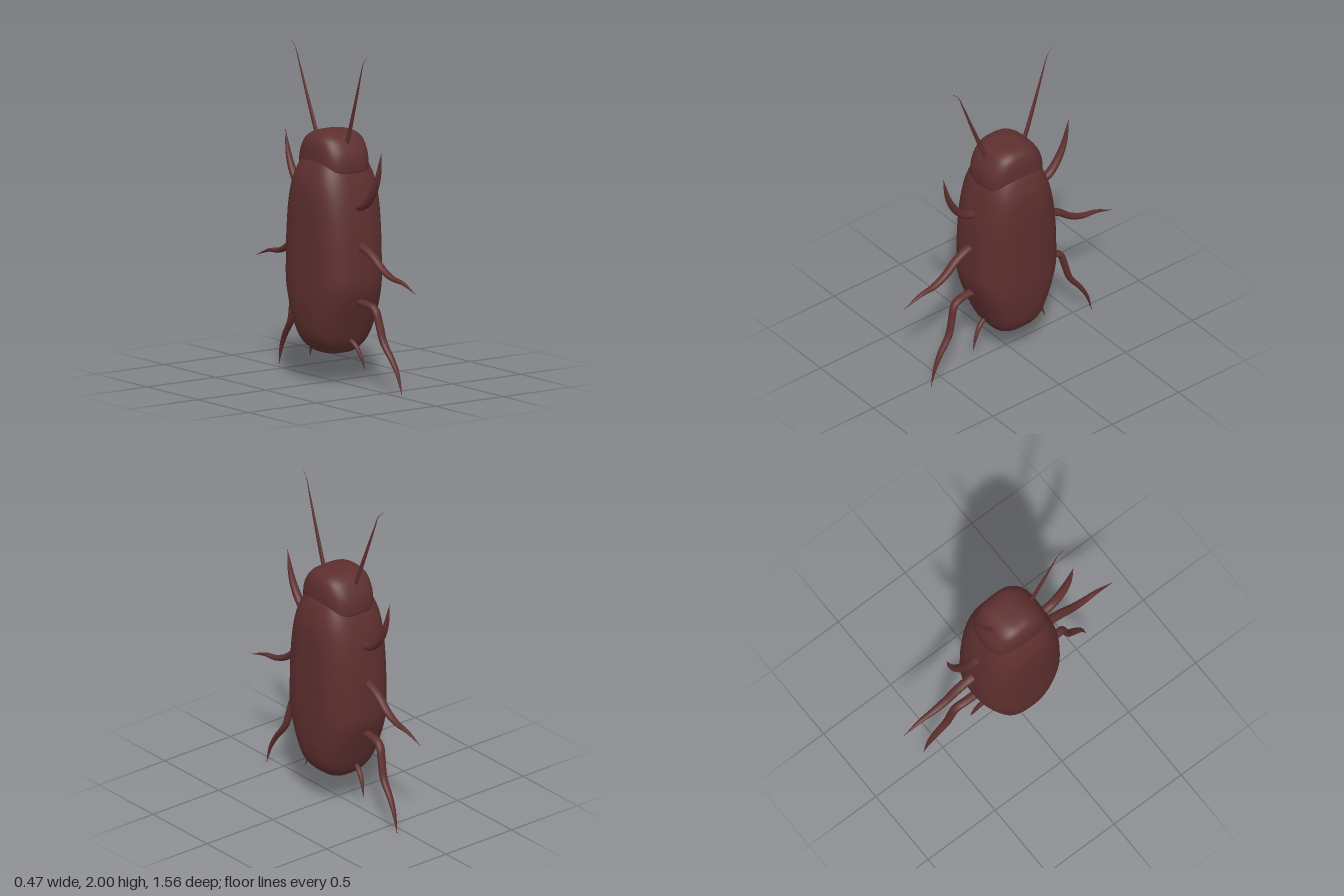
import * as THREE from 'three';

const shell = new THREE.MeshStandardMaterial({ color: 0x5e2f2f });
shell.name = 'dark reddish brown';

// Skin a list of closed rings (arrays of Vector3) with smooth shared normals
function loft(name, rings) {
  const n = rings[0].length;
  const index = [];
  for (let i = 0; i < rings.length - 1; i++) {
    for (let j = 0; j < n; j++) {
      const k = (j + 1) % n;
      const a = i * n + j, b = i * n + k, c = a + n, d = b + n;
      index.push(a, c, b, b, c, d);
    }
  }
  const geometry = new THREE.BufferGeometry().setFromPoints(rings.flat());
  geometry.setIndex(index);
  geometry.computeVertexNormals();
  const mesh = new THREE.Mesh(geometry, shell);
  mesh.name = name;
  return mesh;
}

// Upright rounded-square hull; profile rows are [half width x, height y, half depth z]
function hull(name, profile, power, steps) {
  const curve = new THREE.CatmullRomCurve3(profile.map(p => new THREE.Vector3(...p)), false, 'centripetal');
  const round = v => Math.sign(v) * Math.abs(v) ** (2 / power);
  const rings = [];
  for (let i = 0; i <= steps; i++) {
    const p = curve.getPoint(i / steps);
    const ring = [];
    for (let j = 0; j < 48; j++) {
      const t = (j + 0.5) / 48 * Math.PI * 2;
      ring.push(new THREE.Vector3(p.x * round(Math.cos(t)), p.y, p.z * round(Math.sin(t))));
    }
    rings.push(ring);
  }
  return loft(name, rings);
}

// Tapering limb with an oval section, swept along [x, y, z] points; side = +1 or -1 in z
function limb(name, path, radiusX, radius, taper, side) {
  const curve = new THREE.CatmullRomCurve3(
    path.map(([x, y, z]) => new THREE.Vector3(x, y, z * side)), false, 'centripetal');
  const across = new THREE.Vector3(1, 0, 0);
  const rings = [];
  const steps = 32;
  for (let i = 0; i <= steps; i++) {
    const u = i / steps;
    const p = curve.getPointAt(u);
    const out = new THREE.Vector3().crossVectors(across, curve.getTangentAt(u)).normalize();
    const size = Math.max(1 - u ** taper, 0.06);
    const ring = [];
    for (let j = 0; j < 14; j++) {
      const t = j / 14 * Math.PI * 2;
      ring.push(p.clone()
        .addScaledVector(across, radiusX * size * Math.cos(t))
        .addScaledVector(out, radius * size * Math.sin(t)));
    }
    rings.push(ring);
  }
  // close both ends
  const cap = u => Array.from({ length: 14 }, () => curve.getPointAt(u));
  return loft(name, [cap(0), ...rings, cap(1)]);
}

export function createModel() {
  const model = new THREE.Group();
  model.name = 'beetle';

  // Long abdomen with a blunt lower end and narrowing shoulders
  model.add(hull('body', [
    [0, 0.18, 0], [0.06, 0.181, 0.06], [0.11, 0.195, 0.11], [0.165, 0.24, 0.152],
    [0.2, 0.295, 0.18], [0.224, 0.39, 0.217], [0.235, 0.5, 0.258], [0.237, 0.6, 0.285],
    [0.237, 0.75, 0.287], [0.237, 0.9, 0.28], [0.235, 1.08, 0.257], [0.225, 1.2, 0.228],
    [0.202, 1.28, 0.2], [0.165, 1.35, 0.165], [0.1, 1.4, 0.1], [0, 1.42, 0],
  ], 2.8, 90));

  // Domed head cap sitting over the shoulders
  model.add(hull('head', [
    [0, 1.27, 0], [0.14, 1.27, 0.17], [0.165, 1.278, 0.2], [0.169, 1.32, 0.204],
    [0.168, 1.38, 0.195], [0.163, 1.43, 0.172], [0.15, 1.47, 0.143],
    [0.12, 1.5, 0.1], [0.07, 1.513, 0.055], [0, 1.515, 0],
  ], 3, 60));

  // Paired limbs: name, path, half width in x, half thickness, taper power
  const limbs = [
    ['antenna', [[-0.01, 1.42, 0.125], [-0.012, 1.46, 0.148], [-0.021, 1.68, 0.232],
      [-0.029, 1.87, 0.3], [-0.033, 1.96, 0.335], [-0.036, 2.0, 0.374]], 0.011, 0.015, 1.5],
    ['frontLeg', [[-0.003, 1.09, 0.18], [-0.003, 1.087, 0.26], [-0.003, 1.11, 0.32], [-0.003, 1.18, 0.385],
      [-0.003, 1.28, 0.435], [-0.003, 1.44, 0.473]], 0.029, 0.024, 3],
    ['middleLeg', [[0, 0.85, 0.2], [0, 0.845, 0.29], [0.004, 0.805, 0.38], [0.01, 0.735, 0.475],
      [0.014, 0.7, 0.56], [0.016, 0.685, 0.66], [0.016, 0.64, 0.78]], 0.03, 0.023, 2.6],
    ['backLeg', [[0, 0.512, 0.18], [0, 0.511, 0.32], [0.008, 0.49, 0.395], [0.018, 0.4, 0.425],
      [0.026, 0.3, 0.455], [0.036, 0.2, 0.528], [0.043, 0.12, 0.572], [0.048, 0.005, 0.605]], 0.027, 0.02, 4],
    ['tailFeeler', [[0, 0.27, 0.12], [0, 0.268, 0.17], [0.008, 0.24, 0.21],
      [0.018, 0.18, 0.245], [0.028, 0.105, 0.272]], 0.016, 0.014, 3],
  ];
  for (const [name, path, rx, r, taper] of limbs) {
    model.add(limb(name + 'Front', path, rx, r, taper, 1));
    model.add(limb(name + 'Rear', path, rx, r, taper, -1));
  }
  return model;
}
